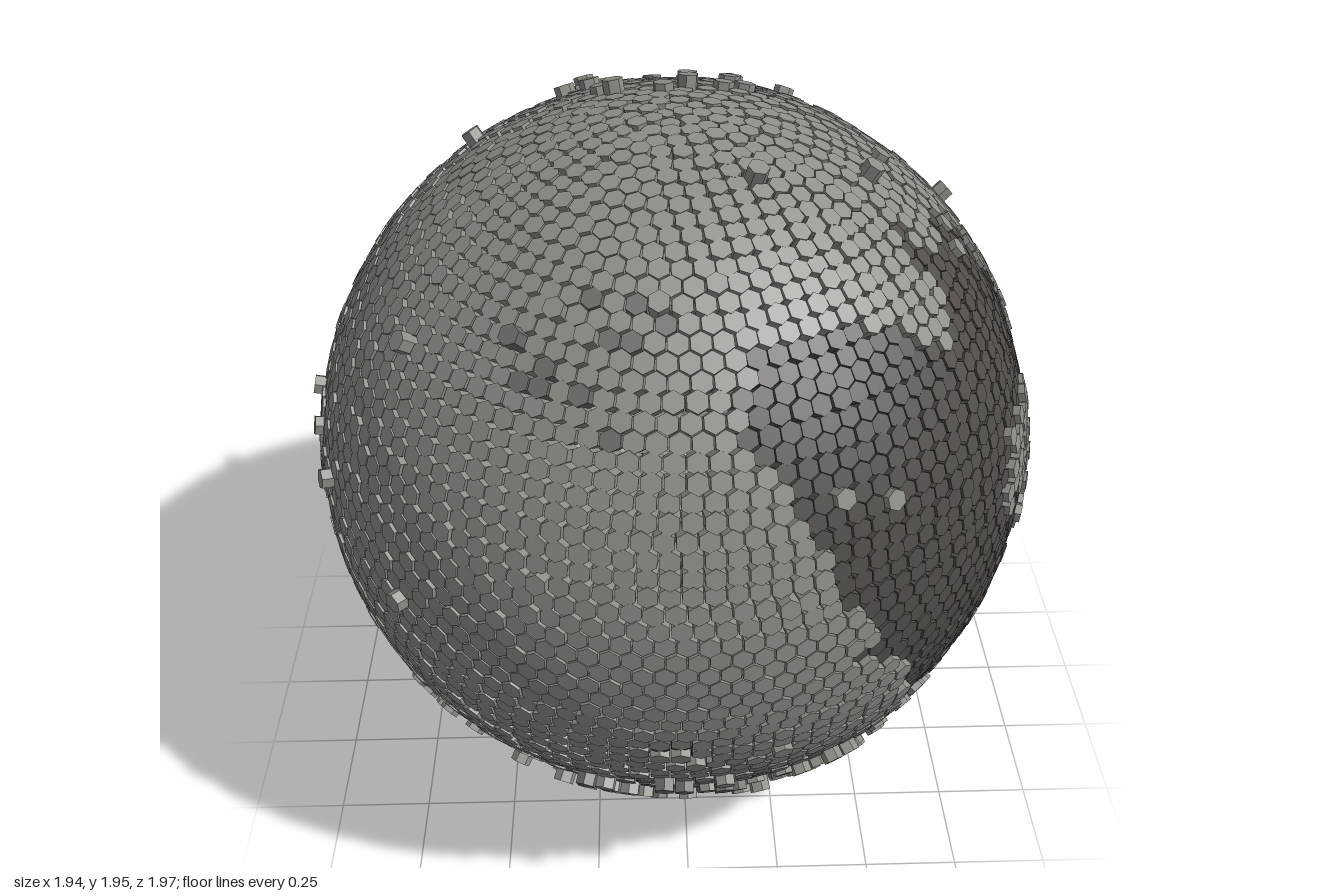
import * as THREE from 'three';
import { mergeGeometries } from 'three/addons/utils/BufferGeometryUtils.js';

const RADIUS = 0.965, PITCH = 0.05, DEPTH = 0.07;
const RAD = Math.PI / 180;

// Dark plains as [longitude, latitude] outlines in degrees (0 = +x, 90 = +z)
const PLAINS = [
  [[74, 47], [80, 32], [75, 22], [66, 10], [62, -2], [56, -11], [52, -16], [50, -25], [38, -29], [7, -27],
    [5, -8], [9, -1], [-1, 6], [-21, 8], [-31, -5], [-40, -2], [-36, 12], [-33, 32], [-24, 39], [-8, 39],
    [-8, 22], [0, 19], [0, 47], [29, 50], [30, 43], [43, 41], [49, 47]],
  [[-55, 24], [-75, 25], [-83, 7], [-80, -9], [-66, -3], [-52, -11], [-40, 0], [-46, 10]],
];
// Round patches: longitude, latitude, radius in degrees
const DARK_SPOTS = [[-36, -14, 5], [-30, 52, 5], [90, -20, 3], [-95, 13, 6], [-96, -3, 5], [-157, 26, 3], [-57, 25, 7]];
const LIGHT_SPOTS = [[18, 11, 7], [24, 12, 4], [15, -4, 3], [28, 7, 2.5], [40, 42, 5], [55, 20, 1.5], [-14, 25, 3]];
// Broken ground: longitude, latitude, radius, share of raised tiles
const ROUGH = [[100, 48, 17, 0.12], [-80, -41, 15, 0.35], [-90, 60, 22, 0.15], [90, -52, 24, 0.3],
  [20, -50, 20, 0.12], [-35, -50, 20, 0.3], [150, -45, 20, 0.15], [-140, -50, 22, 0.2], [55, -45, 16, 0.3], [-85, 5, 15, 0.12]];

function makeRandom(seed) {
  return () => {
    seed = (seed * 1664525 + 1013904223) >>> 0;
    return seed / 4294967296;
  };
}

function direction(lon, lat) {
  return new THREE.Vector3(Math.cos(lat * RAD) * Math.cos(lon * RAD), Math.sin(lat * RAD), Math.cos(lat * RAD) * Math.sin(lon * RAD));
}

function inside(poly, x, y) {
  let hit = false;
  for (let i = 0, j = poly.length - 1; i < poly.length; j = i++) {
    const [ax, ay] = poly[i], [bx, by] = poly[j];
    if ((ay > y) !== (by > y) && x < ((bx - ax) * (y - ay)) / (by - ay) + ax) hit = !hit;
  }
  return hit;
}

export function createModel() {
  const random = makeRandom(17);
  const materials = {
    highland: new THREE.MeshStandardMaterial({ color: 0x8e8d87 }),
    brokenGround: new THREE.MeshStandardMaterial({ color: 0x6f6d69 }),
    plain: new THREE.MeshStandardMaterial({ color: 0x504b47 }),
  };
  const tiles = { highland: [], brokenGround: [], plain: [] };

  const toSpots = (list) => list.map(([lon, lat, r, share]) => ({ dir: direction(lon, lat), r: r * RAD, share }));
  const dark = toSpots(DARK_SPOTS), light = toSpots(LIGHT_SPOTS), rough = toSpots(ROUGH);
  const near = (spot, dir) => dir.angleTo(spot.dir) < spot.r;

  // One hexagonal column, axis along +z, outer face at z = 0
  const column = new THREE.CylinderGeometry(PITCH * 0.54, PITCH * 0.54, DEPTH, 6)
    .rotateX(Math.PI / 2).translate(0, 0, -DEPTH / 2).toNonIndexed();
  column.computeVertexNormals();
  column.deleteAttribute('uv');

  const holder = new THREE.Object3D();
  const rows = Math.round((Math.PI * RADIUS) / (PITCH * 0.866));
  for (let i = 0; i < rows; i++) {
    const lat = -90 + (180 * (i + 0.5)) / rows;
    const count = Math.max(3, Math.round((2 * Math.PI * RADIUS * Math.cos(lat * RAD)) / PITCH));
    for (let j = 0; j < count; j++) {
      const lon = -180 + (360 * (j + (i % 2) * 0.5 + 0.25)) / count;
      const dir = direction(lon, lat);

      // Ragged borders between plains and highlands
      const lonJ = lon + (random() - 0.5) * 4 + 2 * Math.sin(lat * 0.5);
      const latJ = lat + (random() - 0.5) * 4 + 2 * Math.sin(lon * 0.4);
      const jittered = direction(lonJ, latJ);
      let isPlain = PLAINS.some((p) => inside(p, lonJ, latJ)) || dark.some((s) => near(s, jittered));
      if (light.some((s) => near(s, jittered)) || random() < 0.012) isPlain = false;

      // Height of each column
      let share = 0.008;
      for (const s of rough) if (near(s, dir)) share = Math.max(share, s.share);
      let height = isPlain ? -0.006 : 0.004 + 0.006 * Math.abs(dir.z);
      height += (random() - 0.5) * 0.008;
      const broken = !isPlain && share > 0.01 && random() < share;
      if (!isPlain && random() < share) height += 0.012 + random() * 0.022;

      holder.position.copy(dir).multiplyScalar(RADIUS + height);
      holder.lookAt(dir.clone().multiplyScalar(3));
      holder.updateMatrix();
      const kind = isPlain ? 'plain' : broken ? 'brokenGround' : 'highland';
      tiles[kind].push(column.clone().applyMatrix4(holder.matrix));
    }
  }

  const model = new THREE.Group();
  model.name = 'moon';
  for (const kind of Object.keys(tiles)) {
    materials[kind].name = kind;
    const mesh = new THREE.Mesh(mergeGeometries(tiles[kind]), materials[kind]);
    mesh.name = kind + 'Tiles';
    mesh.position.set(-0.015, 0.992, 0);
    model.add(mesh);
  }
  return model;
}
